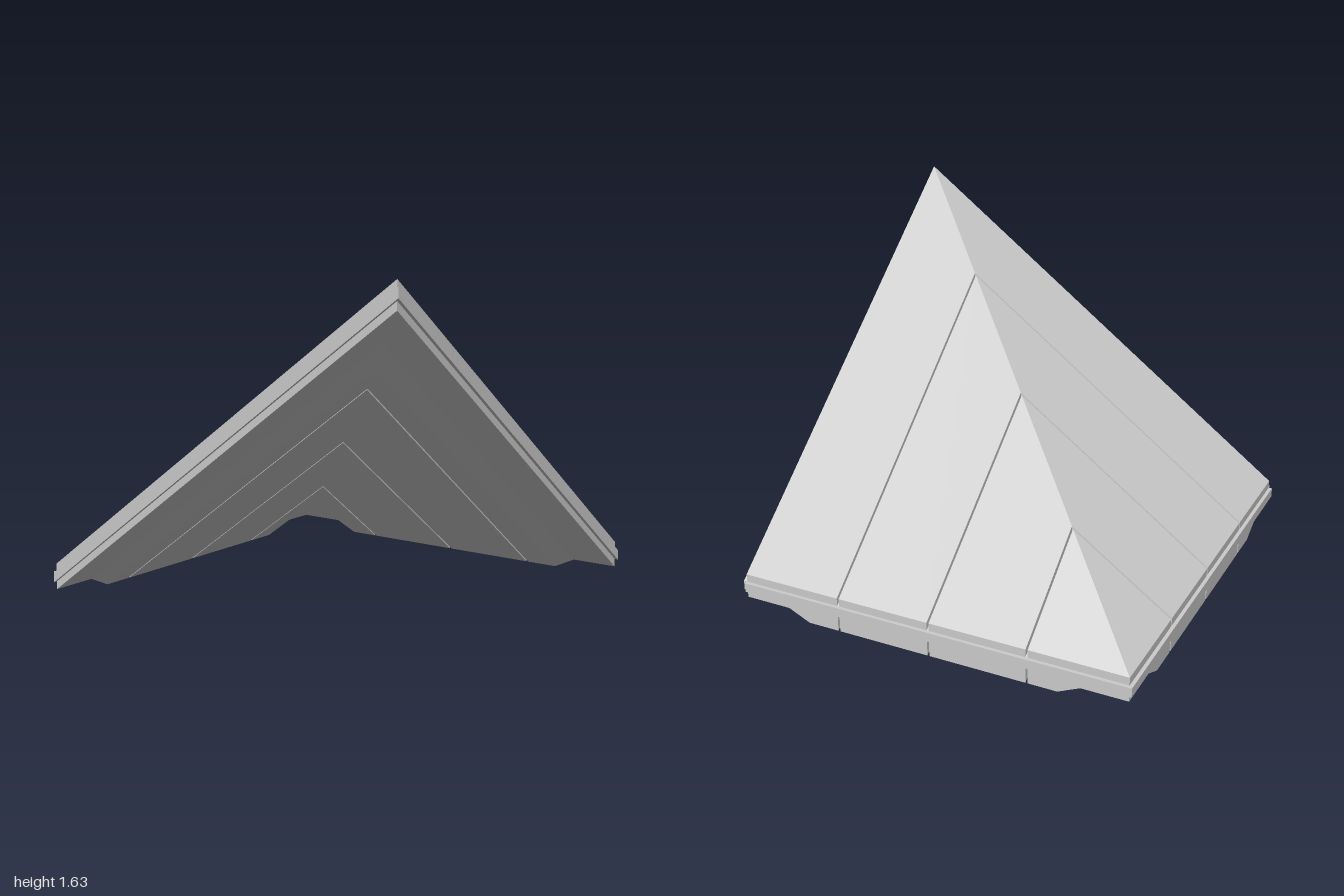
import * as THREE from 'three';

const EDGE = 0.98;                 // half width of the slabs
const OUT = 0.998;                 // outer reach of the tongue
const T_TOP = -0.04, T_LOW = -0.087; // tongue band, measured down from the roof surface
const THIN = -0.125, THICK = -0.177; // underside depth at the rims and in the middle
const GAP = 0.005;                 // half width of a plank seam

const roofY = (x) => 0.905 - 0.742 * x;

// Cross-section of one slope: [z at the hip, z at the eave, depth below the roof surface]
function section(seams) {
  const p = [];
  const add = (z, d, ze = z) => p.push([z, ze, d]);
  // top face with seams
  add(-EDGE, 0);
  for (const [z, ze] of seams) {
    add(z - GAP, 0, ze - GAP);
    add(z - GAP, T_TOP, ze - GAP);
    add(z + GAP, T_TOP, ze + GAP);
    add(z + GAP, 0, ze + GAP);
  }
  add(EDGE, 0);
  // gable edge with tongue
  add(EDGE, T_TOP);
  add(OUT, T_TOP);
  add(OUT, T_LOW);
  add(EDGE, T_LOW);
  // underside, thicker in the middle, with the same seams
  add(EDGE, THIN);
  add(0.75, THIN);
  add(0.64, THICK);
  for (const [z, ze] of [...seams].reverse()) {
    add(z + GAP, THICK, ze + GAP);
    add(z + GAP, T_LOW, ze + GAP);
    add(z - GAP, T_LOW, ze - GAP);
    add(z - GAP, THICK, ze - GAP);
  }
  add(-0.64, THICK);
  add(-0.75, THIN);
  add(-EDGE, THIN);
  return p;
}

// Slab running from the eave up to the diagonal mitre at x = -z
function slopeGeometry(seams) {
  const pts = section(seams);
  const n = pts.length;
  const pos = [], idx = [];
  for (const [, ze, d] of pts) pos.push(EDGE, roofY(EDGE) + d, ze);
  for (const [z, , d] of pts) pos.push(-z, roofY(-z) + d, z);
  for (let j = 0; j < n; j++) {
    const k = (j + 1) % n;
    idx.push(j, n + j, n + k, j, n + k, k);
  }
  // eave face
  const outline = pts.map(([, ze, d]) => new THREE.Vector2(-ze, d));
  for (const f of THREE.ShapeUtils.triangulateShape(outline, [])) idx.push(...f);
  const g = new THREE.BufferGeometry();
  g.setAttribute('position', new THREE.Float32BufferAttribute(pos, 3));
  g.setIndex(idx);
  return g;
}

// Tongue along the eave
function eaveTongueGeometry() {
  const g = new THREE.BoxGeometry(OUT - EDGE + 0.01, T_TOP - T_LOW, EDGE + OUT);
  g.translate((OUT + EDGE - 0.01) / 2, roofY(EDGE) + (T_TOP + T_LOW) / 2, (EDGE - OUT) / 2);
  return g;
}

// Reflect across the hip: (x, z) becomes (-z, -x)
function mirrorAcrossHip(g) {
  g.applyMatrix4(new THREE.Matrix4().set(0, 0, -1, 0, 0, 1, 0, 0, -1, 0, 0, 0, 0, 0, 0, 1));
  const a = g.index.array;
  for (let i = 0; i < a.length; i += 3) [a[i + 1], a[i + 2]] = [a[i + 2], a[i + 1]];
  return g;
}

export function createModel() {
  const root = new THREE.Group();
  root.name = 'hipRoofCorner';
  const material = new THREE.MeshStandardMaterial({ color: 0xcccccc, flatShading: true });

  // seams from the hip corner upwards: [z at the hip, z at the eave]
  const slopes = [
    { name: 'leftSlope', seams: [[-0.49, -0.49], [0, 0.005], [0.49, 0.477]], mirror: false },
    { name: 'backSlope', seams: [[-0.49, -0.475], [0, 0.01], [0.49, 0.49]], mirror: true },
  ];
  for (const { name, seams, mirror } of slopes) {
    const slope = new THREE.Group();
    slope.name = name;
    const parts = { plankSlab: slopeGeometry(seams), eaveTongue: eaveTongueGeometry() };
    for (const [part, g] of Object.entries(parts)) {
      if (mirror) mirrorAcrossHip(g);
      const flat = g.toNonIndexed();
      flat.computeVertexNormals();
      const mesh = new THREE.Mesh(flat, material);
      mesh.name = part;
      slope.add(mesh);
    }
    root.add(slope);
  }
  return root;
}
